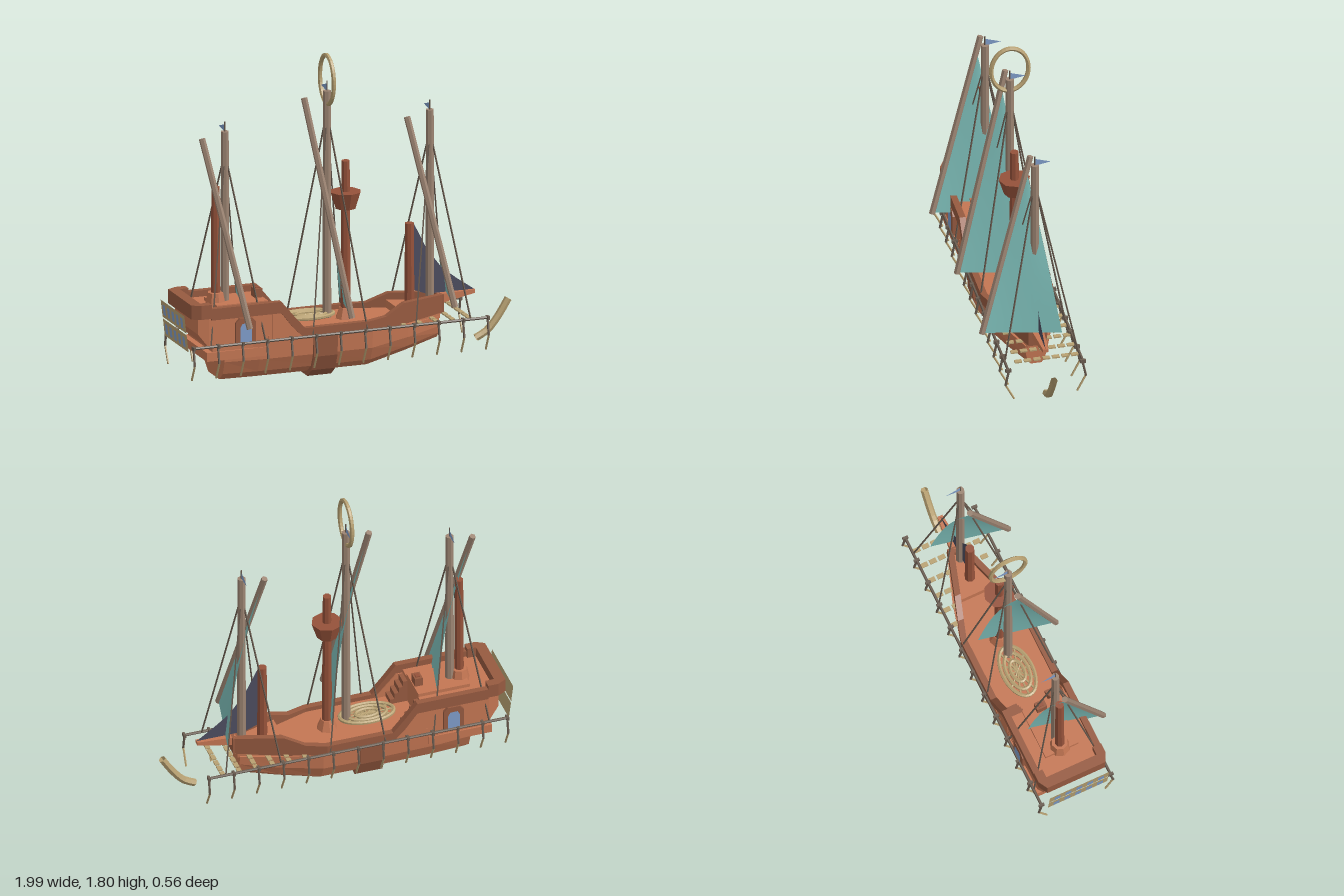
import * as THREE from 'three';

const mat = (name, color, side = THREE.FrontSide) =>
  Object.assign(new THREE.MeshStandardMaterial({ color, flatShading: true, side }), { name });

const V = (x, y, z) => new THREE.Vector3(x, y, z);

// Solid through rings of [x, y, z] points, capped at both ends and wound outward
function loft(rings) {
  const n = rings[0].length, tris = [];
  for (let i = 0; i < rings.length - 1; i++)
    for (let j = 0; j < n; j++) {
      const k = (j + 1) % n, a = rings[i], b = rings[i + 1];
      tris.push([a[j], b[j], b[k]], [a[j], b[k], a[k]]);
    }
  const first = rings[0], last = rings[rings.length - 1];
  for (let j = 1; j < n - 1; j++) {
    tris.push([first[0], first[j], first[j + 1]], [last[0], last[j + 1], last[j]]);
  }
  let volume = 0;
  for (const [a, b, c] of tris) volume += V(...a).dot(V(...b).cross(V(...c)));
  if (volume < 0) tris.forEach(t => t.reverse());
  const g = new THREE.BufferGeometry();
  g.setAttribute('position', new THREE.Float32BufferAttribute(tris.flat(2), 3));
  g.computeVertexNormals();
  return g;
}

export function createModel() {
  const model = new THREE.Group();
  const ship = new THREE.Group();
  ship.name = 'ship';
  ship.position.z = -0.045;
  model.add(ship);

  const hullM = mat('hullWood', 0xc47653), trimM = mat('trimWood', 0x965a40);
  const postM = mat('postWood', 0x95523a), mastM = mat('mastWood', 0x9c8472);
  const sailM = mat('sailCloth', 0x7dbdb8, THREE.DoubleSide);
  const jibM = mat('darkCloth', 0x4d4d5f, THREE.DoubleSide);
  const blueM = mat('blue', 0x7f9dca, THREE.DoubleSide);
  const railM = mat('railMetal', 0x6a5c50), tanM = mat('tan', 0xb8a172, THREE.DoubleSide);
  sailM.flatShading = false;

  const add = (name, geo, m) => {
    const o = new THREE.Mesh(geo, m);
    o.name = name;
    ship.add(o);
    return o;
  };
  const box = (name, m, x0, x1, y0, y1, z0, z1) => {
    const o = add(name, new THREE.BoxGeometry(x1 - x0, y1 - y0, z1 - z0), m);
    o.position.set((x0 + x1) / 2, (y0 + y1) / 2, (z0 + z1) / 2);
    return o;
  };
  const rod = (name, m, a, b, r, sides = 5, rTop = r) => {
    const d = b.clone().sub(a);
    const o = add(name, new THREE.CylinderGeometry(rTop, r, d.length(), sides), m);
    o.position.copy(a).addScaledVector(d, 0.5);
    o.quaternion.setFromUnitVectors(V(0, 1, 0), d.normalize());
    return o;
  };
  const plate = (name, m, pts, z = 0) => {
    const o = add(name, new THREE.ShapeGeometry(new THREE.Shape(pts.map(p => new THREE.Vector2(...p)))), m);
    o.position.z = z;
    return o;
  };

  // Lower hull: faceted U sections [x, half width, keel y]
  const section = (x, w, y0, top = 0.25) => {
    const h = top - y0;
    const half = [[w, top], [w * 0.97, y0 + h * 0.55], [w * 0.8, y0 + h * 0.2], [w * 0.5, y0]];
    return [...half.map(([z, y]) => [x, y, z]), ...half.reverse().map(([z, y]) => [x, y, -z])];
  };
  add('lowerHull', loft([[-0.75, 0.17, 0.035], [-0.55, 0.19, 0.035], [-0.17, 0.197, 0.035],
    [0.11, 0.195, 0.035], [0.34, 0.135, 0.083], [0.55, 0.06, 0.13]].map(s => section(...s))), hullM);
  add('hullBand', loft([section(-0.24, 0.207, 0.006), section(-0.1, 0.207, 0.006)]), trimM);
  box('sternLedge', hullM, -0.865, -0.5, 0.175, 0.225, -0.195, 0.195);
  box('sternShelf', hullM, -0.83, -0.5, 0.222, 0.26, -0.185, 0.185);

  // Decks follow the plan of the hull
  const slab = (name, m, rows) => add(name, loft(rows.map(([x, w, y0, y1]) =>
    [[x, y0, w], [x, y1, w], [x, y1, -w], [x, y0, -w]])), m);
  slab('mainDeck', hullM, [[-0.5, 0.19, 0.24, 0.285], [0.09, 0.19, 0.24, 0.285], [0.56, 0.05, 0.24, 0.285]]);
  slab('foreDeck', hullM, [[0.3, 0.12, 0.26, 0.33], [0.57, 0.04, 0.26, 0.33]]);
  slab('aftHouse', hullM, [[-0.91, 0.175, 0.33, 0.44], [-0.85, 0.188, 0.25, 0.44], [-0.47, 0.188, 0.25, 0.44]]);
  box('cabinRoof', hullM, -0.77, -0.47, 0.44, 0.46, -0.1, 0.1);
  box('hatch', trimM, -0.52, -0.475, 0.46, 0.51, -0.03, 0.03);
  box('hatchHole', postM, -0.51, -0.485, 0.508, 0.515, -0.015, 0.015);

  // Bulwarks, side walls and doors on both sides
  const wall = (name, m, s, t, rows) => add(name, loft(rows.map(([x, w, y0, y1]) =>
    [[x, y0, s * w], [x, y1, s * w], [x, y1, s * (w - t)], [x, y0, s * (w - t)]])), m);
  for (const s of [1, -1]) {
    wall('aftBulwark', trimM, s, 0.05, [[-0.95, 0.175, 0.42, 0.5], [-0.9, 0.203, 0.42, 0.5], [-0.84, 0.203, 0.42, 0.5]]);
    wall('bulwark', trimM, s, 0.035, [[-0.84, 0.203, 0.41, 0.475], [-0.43, 0.203, 0.41, 0.475],
      [-0.36, 0.203, 0.32, 0.39], [-0.29, 0.203, 0.25, 0.31], [0.09, 0.203, 0.25, 0.31],
      [0.2, 0.168, 0.25, 0.315], [0.32, 0.13, 0.25, 0.37], [0.58, 0.048, 0.27, 0.37]]);
    wall('sideWall', hullM, s, 0.03, [[-0.48, 0.192, 0.25, 0.42], [-0.43, 0.192, 0.25, 0.42], [-0.3, 0.192, 0.25, 0.28]]);
    for (let i = 0; i < 4; i++) {
      const z = s * 0.13;
      box('stair', trimM, -0.47 + i * 0.025, -0.445 + i * 0.025, 0.28, 0.42 - i * 0.035, z - 0.045, z + 0.045);
    }
    // Arched door with a blue pane
    const arch = (w, h) => [[-w, 0], [w, 0], [w, h], [w * 0.6, h + 0.025], [-w * 0.6, h + 0.025], [-w, h]];
    const door = new THREE.ExtrudeGeometry(new THREE.Shape(arch(0.058, 0.12).map(p => new THREE.Vector2(...p))),
      { depth: 0.02, bevelEnabled: false });
    add('doorFrame', door, trimM).position.set(-0.64, 0.26, s > 0 ? 0.186 : -0.206);
    plate('doorPane', blueM, arch(0.035, 0.085).map(([x, y]) => [x - 0.64, y + 0.265]), s * 0.209);
  }
  box('sternRail', trimM, -0.95, -0.89, 0.42, 0.5, -0.17, 0.17);
  box('stemPost', trimM, 0.55, 0.585, 0.27, 0.37, -0.05, 0.05);

  // Slanted stern gallery with two rows of windows
  const gallery = new THREE.Group();
  gallery.name = 'sternGallery';
  gallery.position.set(-0.98, 0.34, 0);
  gallery.rotation.set(0, -Math.PI / 2, 0);
  const tilt = new THREE.Group();
  tilt.rotation.x = 0.12;
  gallery.add(tilt);
  ship.add(gallery);
  const panel = (name, m, w, h, x, y, z) => {
    const o = new THREE.Mesh(new THREE.PlaneGeometry(w, h), m);
    o.name = name;
    o.position.set(x, y, z);
    tilt.add(o);
  };
  for (const y of [-0.055, 0.055]) {
    panel('galleryPanel', tanM, 0.36, 0.1, 0, y, 0);
    for (let i = -2; i <= 2; i++) panel('galleryWindow', blueM, 0.036, 0.06, i * 0.066, y, 0.003);
  }

  // Outrigger rails with bent legs
  for (const s of [1, -1]) {
    rod('sideRail', railM, V(-0.955, 0.262, s * 0.21), V(0.785, 0.262, s * 0.21), 0.008, 6);
    for (let i = 0; i < 13; i++) {
      const x = -0.948 + i * 0.144;
      rod('legUpper', railM, V(x, 0.27, s * 0.205), V(x, 0.165, s * 0.226), 0.007);
      rod('legLower', tanM, V(x, 0.168, s * 0.226), V(x, 0.073, s * 0.178), 0.006);
      box('railKnob', railM, x - 0.007, x + 0.007, 0.252, 0.272, s * 0.21 - 0.016, s * 0.21 + 0.016);
    }
  }
  // Broken slats between the rails at the bow
  for (let i = 0; i < 6; i++)
    for (let j = 0; j < 7; j++) {
      const x = 0.212 + i * 0.096, z = -0.183 + j * 0.053;
      box('slat', tanM, x - 0.013, x + 0.013, 0.25, 0.258, z - 0.02, z + 0.02);
    }

  // Masts with leaning spar, sail, pennant and stays: [x, mast top, spar top]
  for (const [x, top, sparTop] of [[-0.685, 1.42, 1.39], [-0.085, 1.59, 1.56], [0.52, 1.42, 1.39]]) {
    rod('mast', mastM, V(x, 0.3, 0), V(x, top, 0), 0.026, 8, 0.023);
    const a = V(x + 0.03, 0.37, 0.305), b = V(x - 0.132, sparTop, -0.005);
    rod('spar', mastM, a, b, 0.018, 6);
    const peak = a.clone().lerp(b, 0.92), tack = a.clone().lerp(b, 0.005), clew = V(x + 0.12, 0.37, -0.125);
    const g = new THREE.PlaneGeometry(1, 1, 8, 12), p = g.attributes.position;
    for (let i = 0; i < p.count; i++) {
      const u = p.getX(i) + 0.5, v = 0.5 - p.getY(i);
      const q = peak.clone().lerp(tack, v).lerp(peak.clone().lerp(clew, v), u);
      q.x += 0.038 * Math.sin(Math.PI * v) * Math.sin(Math.PI * u / 2);
      p.setXYZ(i, q.x, q.y, q.z);
    }
    g.computeVertexNormals();
    add('sail', g, sailM);
    rod('pennantPole', railM, V(x, top, 0), V(x, top + 0.055, 0), 0.004);
    plate('pennant', blueM, [[0, top - 0.005], [0.09, top + 0.01], [0, top + 0.04]])
      .rotation.y = Math.PI / 2;
    ship.children[ship.children.length - 1].position.x = x;
    for (const sx of [1, -1])
      for (const s of [1, -1])
        rod('stay', railM, V(x, top - 0.12, 0), V(x + sx * 0.16, 0.265, s * 0.205), 0.005, 4);
  }

  // Brown posts, lookout basket and collars
  rod('aftPost', postM, V(-0.74, 0.44, 0), V(-0.74, 1.11, 0), 0.028, 8, 0.024);
  rod('aftCollar', hullM, V(-0.74, 0.44, 0), V(-0.74, 0.51, 0), 0.06, 8, 0.045);
  rod('midPost', postM, V(0.025, 0.28, 0), V(0.025, 1.18, 0), 0.03, 8, 0.024);
  rod('midCollar', hullM, V(0.025, 0.28, 0), V(0.025, 0.345, 0), 0.06, 8, 0.035);
  rod('forePost', postM, V(0.4, 0.3, 0), V(0.4, 0.785, 0), 0.03, 8, 0.026);
  rod('lookoutBasket', postM, V(0.025, 0.91, 0), V(0.025, 1.005, 0), 0.058, 8, 0.088);

  // Bowsprit, jib and curved figurehead
  add('bowsprit', loft([[0.56, 0.315, 0.035], [0.78, 0.35, 0.015]].map(([x, y, w]) =>
    [[x, y, w], [x, 0.37, w], [x, 0.37, -w], [x, y, -w]])), hullM);
  plate('jib', jibM, [[0.425, 0.78], [0.425, 0.4], [0.5, 0.37], [0.78, 0.37], [0.68, 0.44], [0.59, 0.51], [0.5, 0.63]]);
  const prow = new THREE.CatmullRomCurve3([V(0.79, 0.09, 0), V(0.855, 0.125, 0), V(0.92, 0.2, 0), V(0.98, 0.295, 0)]);
  add('prowCurve', new THREE.TubeGeometry(prow, 8, 0.021, 6), tanM);

  // Masthead hoop and the oval grating on deck
  class Oval extends THREE.Curve {
    constructor(rx, ry) { super(); this.rx = rx; this.ry = ry; }
    getPoint(t, out = V(0, 0, 0)) {
      return out.set(this.rx * Math.cos(t * 2 * Math.PI), this.ry * Math.sin(t * 2 * Math.PI), 0);
    }
  }
  const oval = (name, rx, ry, r) => add(name, new THREE.TubeGeometry(new Oval(rx, ry), 36, r, 6, true), tanM);
  const hoop = oval('mastheadHoop', 0.105, 0.137, 0.013);
  hoop.position.set(-0.085, 1.653, 0);
  hoop.rotation.y = Math.PI / 2;
  for (const k of [1, 0.72, 0.42]) {
    const o = oval('deckOval', 0.155 * k, 0.085 * k, 0.011);
    o.position.set(-0.205, 0.325, 0);
    o.rotation.x = Math.PI / 2;
  }
  for (let i = 0; i < 6; i++) {
    const t = i * Math.PI / 6, x = 0.155 * Math.cos(t), z = 0.085 * Math.sin(t);
    rod('deckSpoke', tanM, V(-0.205 - x, 0.322, -z), V(-0.205 + x, 0.322, z), 0.006);
  }
  return model;
}
